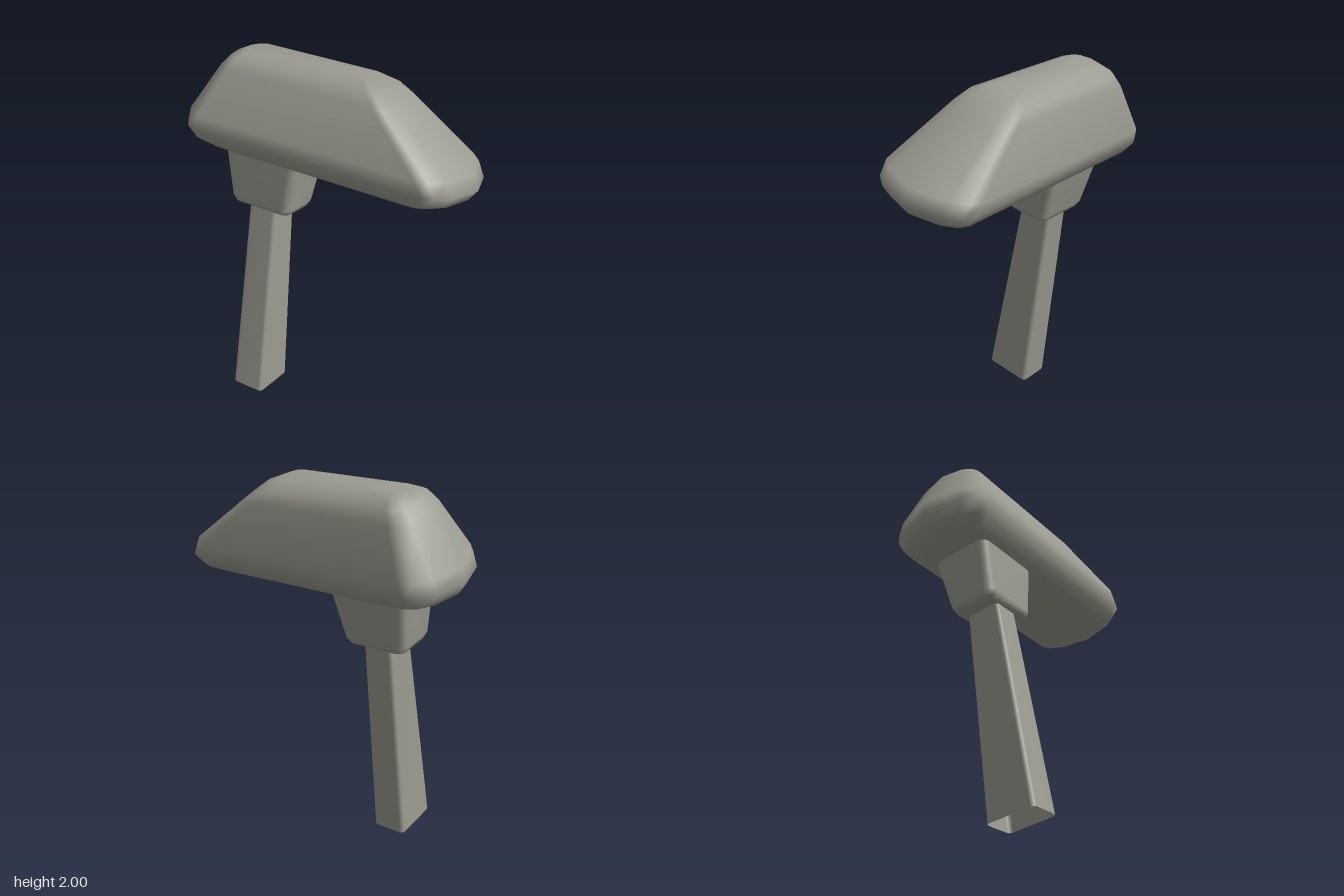
import * as THREE from 'three';

// Skin a stack of equal-length rings (counter-clockwise seen from above), with optional end caps
function loft(rings, capBottom, capTop) {
  const n = rings[0].length, pos = rings.flat(2), idx = [];
  for (let i = 0; i < rings.length - 1; i++) {
    for (let j = 0; j < n; j++) {
      const k = (j + 1) % n;
      const a = i * n + j, b = i * n + k, c = a + n, d = b + n;
      idx.push(a, b, d, a, d, c);
    }
  }
  const cap = (row, flip) => {
    const ring = rings[row], centre = pos.length / 3;
    for (let axis = 0; axis < 3; axis++) pos.push(ring.reduce((s, p) => s + p[axis], 0) / n);
    for (let j = 0; j < n; j++) {
      const a = row * n + j, b = row * n + (j + 1) % n;
      idx.push(centre, flip ? b : a, flip ? a : b);
    }
  };
  if (capBottom) cap(0, true);
  if (capTop) cap(rings.length - 1, false);
  const geo = new THREE.BufferGeometry();
  geo.setAttribute('position', new THREE.Float32BufferAttribute(pos, 3));
  geo.setIndex(idx);
  geo.computeVertexNormals();
  return geo;
}

// Rectangle with rounded corners, centred on (cx, cz)
function roundedRing(y, hx, hz, r, cx, cz) {
  const ring = [], steps = 3;
  for (let q = 0; q < 4; q++) {
    const sx = q === 0 || q === 3 ? 1 : -1, sz = q < 2 ? -1 : 1;
    for (let s = 0; s <= steps; s++) {
      const t = (q + s / steps) * Math.PI / 2;
      ring.push([cx + sx * (hx - r) + r * Math.cos(t), y, cz + sz * (hz - r) - r * Math.sin(t)]);
    }
  }
  return ring;
}

// Long outline with bulging, rounded ends
function headRing(y, left, right, d) {
  const end = [[0.17, 1], [0.11, 0.92], [0.05, 0.65], [0, 0], [0.05, -0.65], [0.11, -0.92], [0.17, -1]];
  const k = d / 0.29, cz = 0.018;
  const rightEnd = end.map(([e, f]) => [right - e * k, y, cz + f * d]);
  const leftEnd = end.map(([e, f]) => [left + e * k, y, cz - f * d]);
  return [...rightEnd, ...leftEnd];
}

export function createModel() {
  const stone = new THREE.MeshStandardMaterial({ color: 0x9b9b91, side: THREE.DoubleSide });
  stone.name = 'warm grey';
  const model = new THREE.Group();
  model.name = 'hammer';
  const add = (name, geo) => {
    const mesh = new THREE.Mesh(geo, stone);
    mesh.name = name;
    model.add(mesh);
  };
  const shaftX = -0.335;

  // Tapered handle, open at the foot
  add('handle', loft([
    roundedRing(0, 0.097, 0.137, 0.022, shaftX, 0),
    roundedRing(1.2, 0.082, 0.093, 0.02, shaftX, 0.016),
  ], false, false));

  // Collar flaring up into the head, with a softened lower rim
  add('collar', loft([
    [1.146, 0.15, 0.1], [1.152, 0.172, 0.121], [1.182, 0.187, 0.134], [1.48, 0.227, 0.167],
  ].map(([y, hx, hz]) => roundedRing(y, hx, hz, 0.045, shaftX, 0.015)), true, false));

  // Head: widest near the bottom, sloping further on the left end
  add('head', loft([
    [1.456, -0.68, 0.68, 0.19],
    [1.497, -0.785, 0.78, 0.25],
    [1.56, -0.83, 0.825, 0.288],
    [1.635, -0.812, 0.785, 0.295],
    [1.885, -0.66, 0.425, 0.2],
    [1.945, -0.608, 0.33, 0.163],
    [1.985, -0.53, 0.22, 0.087],
  ].map(p => headRing(...p)), true, true));

  // The whole tool leans backwards
  model.rotation.x = -0.18;
  model.position.set(0, 0.025, 0.215);
  const root = new THREE.Group();
  root.add(model);
  return root;
}
